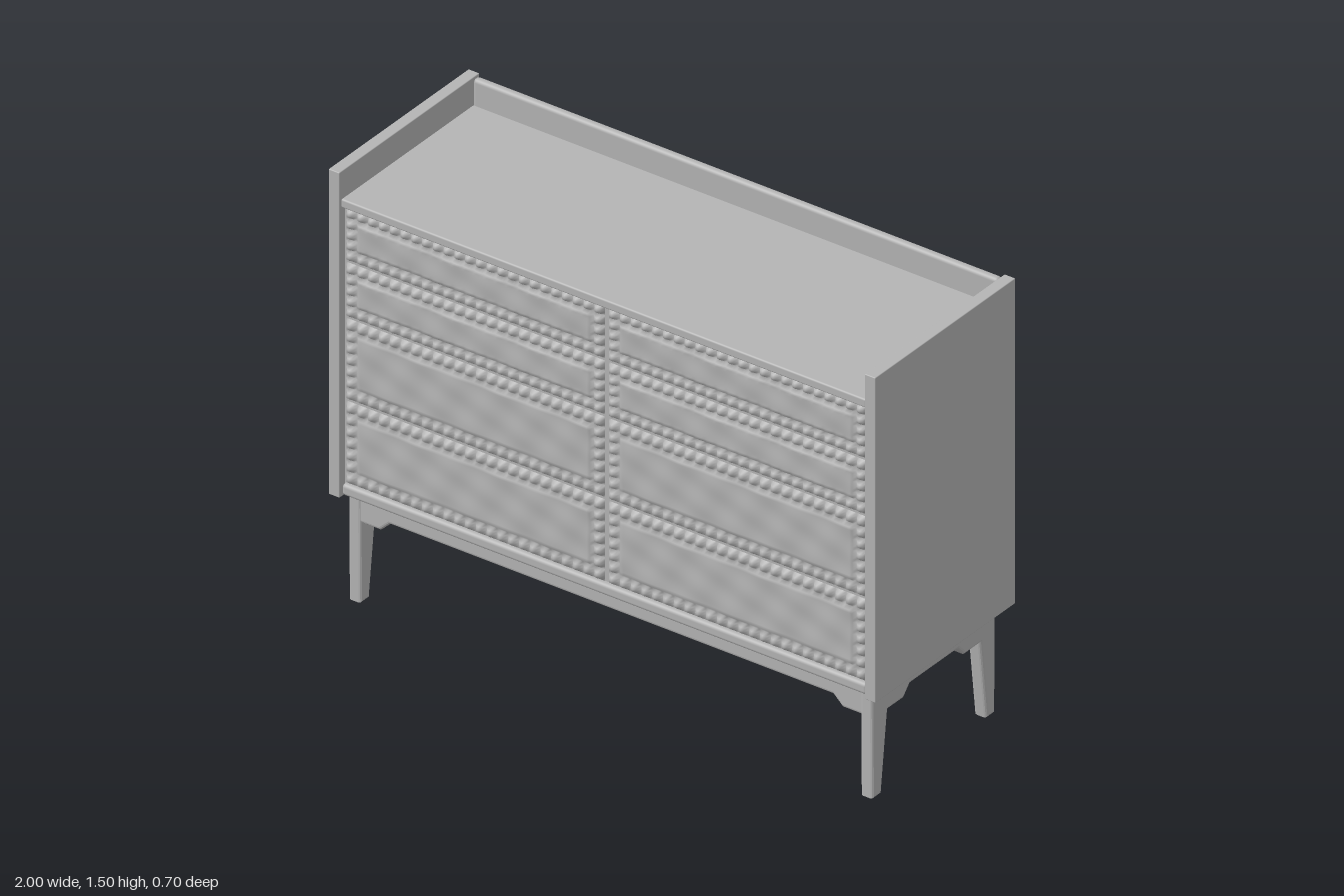
import * as THREE from 'three';
import { RoundedBoxGeometry } from 'three/addons/geometries/RoundedBoxGeometry.js';

const grey = new THREE.MeshStandardMaterial({ color: 0xb4b4b4 });
grey.name = 'plain grey';

export function createModel() {
  const model = new THREE.Group();
  model.name = 'sideboard';

  const add = (name, geometry, x = 0, y = 0, z = 0, parent = model) => {
    const mesh = new THREE.Mesh(geometry, grey);
    mesh.name = name;
    mesh.position.set(x, y, z);
    parent.add(mesh);
    return mesh;
  };
  // Box given by its limits on each axis
  const box = (name, [x0, x1], [y0, y1], [z0, z1], radius = 0) => {
    const size = [x1 - x0, y1 - y0, z1 - z0];
    const geometry = radius
      ? new RoundedBoxGeometry(...size, 3, radius)
      : new THREE.BoxGeometry(...size);
    return add(name, geometry, (x0 + x1) / 2, (y0 + y1) / 2, (z0 + z1) / 2);
  };

  // Case
  for (const s of [-1, 1]) {
    const x = s > 0 ? [0.96, 1] : [-1, -0.96];
    box(s > 0 ? 'leftSidePanel' : 'rightSidePanel', x, [0.37, 1.495], [-0.35, 0.35], 0.003);
  }
  box('carcass', [-0.96, 0.96], [0.375, 1.39], [-0.315, 0.322]);
  box('top', [-0.96, 0.96], [1.372, 1.402], [-0.32, 0.343], 0.006);
  box('bottomFrontRail', [-0.96, 0.96], [0.375, 0.415], [0.29, 0.34], 0.012);
  box('backPanel', [-0.96, 0.96], [0.38, 1.492], [-0.343, -0.315], 0.012);

  // Carved drawer front: nubs around the border fading to a gently lumpy field
  function drawerFront(w, h) {
    const pitch = 0.04, nx = Math.round(w / pitch), ny = Math.max(4, Math.round(h / pitch));
    const geometry = new THREE.PlaneGeometry(w, h, nx * 4, ny * 4);
    const p = geometry.attributes.position;
    for (let i = 0; i < p.count; i++) {
      const x = p.getX(i), y = p.getY(i);
      const edge = Math.min(w / 2 - Math.abs(x), h / 2 - Math.abs(y));
      const nub = Math.sqrt(Math.abs(
        Math.sin((x / w + 0.5) * nx * Math.PI) * Math.sin((y / h + 0.5) * ny * Math.PI)));
      const lump = 0.011 + 0.0025 * Math.sin(x * 31 + y * 17) * Math.cos(y * 43 - x * 11);
      const t = THREE.MathUtils.smoothstep(edge, 0.035, 0.05);
      p.setZ(i, THREE.MathUtils.lerp(0.017 * nub, lump, t));
    }
    geometry.computeVertexNormals();
    return geometry;
  }
  const rows = [[0.415, 0.698], [0.706, 0.984], [0.992, 1.178], [1.186, 1.37]];
  for (const [y0, y1] of rows) {
    const geometry = drawerFront(0.945, y1 - y0);
    for (const s of [-1, 1]) add('drawerFront', geometry, s * 0.48, (y0 + y1) / 2, 0.3235);
  }

  // Base: bracketed frames cut from boards with softened edges
  const board = (points, width) => {
    const bevel = 0.01;
    const shape = new THREE.Shape(points.map(([a, b]) => new THREE.Vector2(a, b)));
    return new THREE.ExtrudeGeometry(shape, {
      depth: width - 2 * bevel, bevelEnabled: true, bevelThickness: bevel,
      bevelSize: bevel, bevelOffset: -bevel, bevelSegments: 3,
    }).translate(0, 0, bevel - width / 2);
  };
  const mirrored = (half) => [...half, ...half.map(([a, b]) => [-a, b]).reverse()];

  // Tapered legs joined by a side rail
  const legFrame = board(mirrored([
    [0.308, 0.38], [0.305, 0], [0.262, 0], [0.23, 0.275], [0.152, 0.275], [0.12, 0.31],
  ]).reverse(), 0.047).rotateY(Math.PI / 2);
  for (const s of [-1, 1]) add('legFrame', legFrame, s * 0.936);

  // Long rails with corner brackets
  const longRail = board(mirrored([
    [0.935, 0.38], [0.935, 0.277], [0.845, 0.277], [0.81, 0.31],
  ]).reverse(), 0.045);
  for (const s of [-1, 1]) add(s > 0 ? 'frontRail' : 'backRail', longRail, 0, 0, s * 0.282);

  return model;
}
